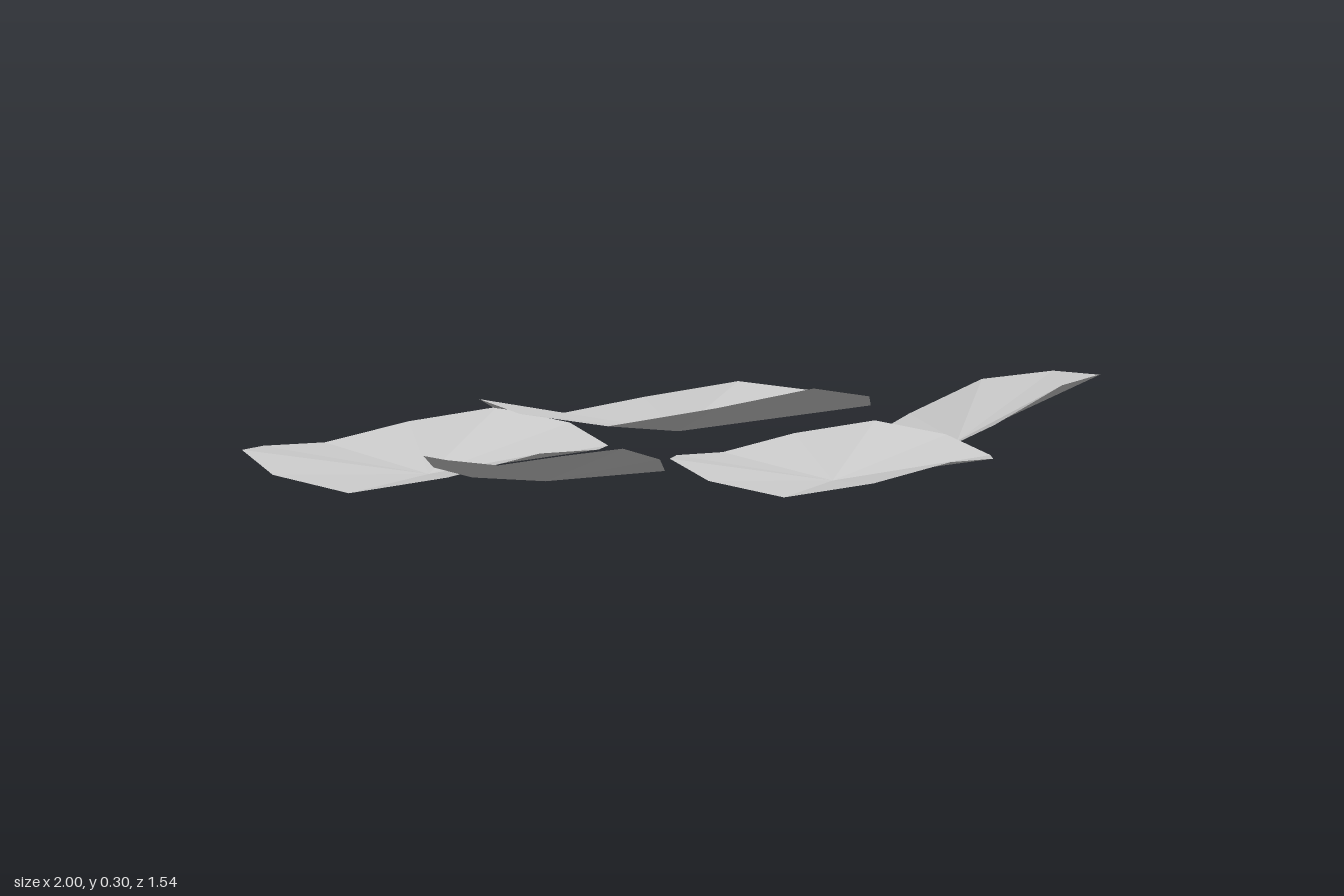
import * as THREE from 'three';

const SIDES = 12;
const TURN = THREE.MathUtils.degToRad(9.4);  // angle of the first rim corner
const CREST = TURN + Math.PI / 6;            // angle of a wave crest

// name, tip position, radius, slope along x and along z
const PADS = [
  ['centrePad', [0.072, 0.161, -0.074], 0.444, 0.061, 0.089],
  ['largeBackRightPad', [-0.575, 0.003, -0.345], 0.434, 0.045, -0.024],
  ['backLeftPad', [0.675, 0.12, -0.316], 0.367, 0.35, -0.016],
  ['frontLeftPad', [0.476, 0.14, 0.419], 0.336, 0.045, -0.02],
  ['smallFrontPad', [-0.1, 0.14, 0.535], 0.249, 0.053, 0.21],
];

// Shallow cupped leaf: a fan whose rim rises in three gentle waves
function padGeometry(radius) {
  const geometry = new THREE.CircleGeometry(radius, SIDES);
  geometry.rotateX(-Math.PI / 2);
  geometry.rotateY(-TURN);
  const p = geometry.attributes.position;
  for (let i = 1; i < p.count; i++) {
    const angle = Math.atan2(p.getZ(i), p.getX(i));
    p.setY(i, radius * (0.146 + 0.065 * Math.cos(3 * (angle - CREST))));
  }
  geometry.computeVertexNormals();
  return geometry;
}

export function createModel() {
  const group = new THREE.Group();
  group.name = 'lilyPads';
  const material = new THREE.MeshStandardMaterial({
    color: 0xcccccc, flatShading: true, side: THREE.DoubleSide,
  });
  const up = new THREE.Vector3(0, 1, 0);

  // Each pad floats at its own height and tilt
  for (const [name, tip, radius, slopeX, slopeZ] of PADS) {
    const pad = new THREE.Mesh(padGeometry(radius), material);
    pad.name = name;
    pad.position.set(...tip);
    const normal = new THREE.Vector3(-slopeX, 1, -slopeZ).normalize();
    pad.quaternion.setFromUnitVectors(up, normal);
    group.add(pad);
  }
  return group;
}
